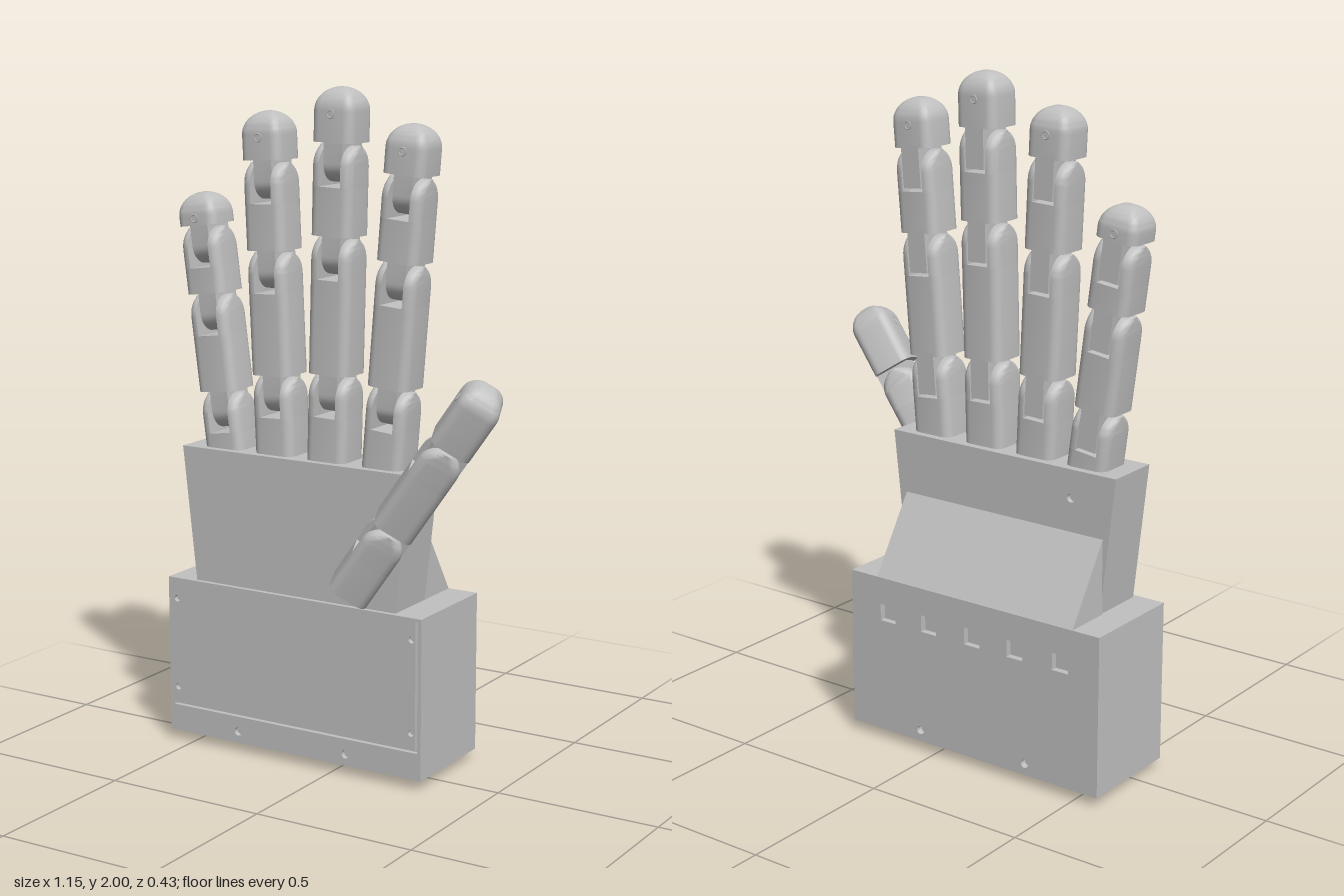
import * as THREE from 'three';
import { toCreasedNormals } from 'three/addons/utils/BufferGeometryUtils.js';

const grey = new THREE.MeshStandardMaterial({ color: 0xc0c0c0 });
grey.name = 'light grey plastic';

const HX = 0.067, HZ = 0.062, CORNER = 0.028, SLOT = 0.036, TONGUE = 0.031;

function add(parent, name, geometry) {
  const mesh = new THREE.Mesh(geometry, grey);
  mesh.name = name;
  parent.add(mesh);
  return mesh;
}

// Rectangle ring in x/z; r0 rounds the corners at x0, r1 those at x1
function ring(x0, x1, hz, r0, r1) {
  const pts = [];
  const corners = [[x1, hz, r1, 0], [x0, hz, r0, 1], [x0, -hz, r0, 2], [x1, -hz, r1, 3]];
  for (const [cx, cz, r, q] of corners) {
    const sx = q === 0 || q === 3 ? 1 : -1, sz = q < 2 ? 1 : -1;
    const n = r > 0 ? 5 : 0;
    for (let i = 0; i <= n; i++) {
      const a = (q + (n ? i / n : 0)) * Math.PI / 2;
      pts.push([cx - sx * r + r * Math.cos(a), cz - sz * r + r * Math.sin(a)]);
    }
  }
  return pts;
}

// Skin a stack of rings [y, points] and cap both ends
function loft(rows) {
  const pos = [], idx = [], n = rows[0][1].length;
  for (const [y, pts] of rows) for (const [x, z] of pts) pos.push(x, y, z);
  for (let k = 0; k < rows.length - 1; k++) {
    for (let i = 0; i < n; i++) {
      const a = k * n + i, b = k * n + (i + 1) % n;
      idx.push(a, a + n, b, b, a + n, b + n);
    }
  }
  for (const k of [0, rows.length - 1]) {
    const [y, pts] = rows[k], c = pos.length / 3;
    pos.push((pts[0][0] + pts[Math.floor(n / 2)][0]) / 2, y, 0);
    for (let i = 0; i < n; i++) {
      const a = k * n + i, b = k * n + (i + 1) % n;
      if (k) idx.push(c, b, a); else idx.push(c, a, b);
    }
  }
  const g = new THREE.BufferGeometry();
  g.setAttribute('position', new THREE.Float32BufferAttribute(pos, 3));
  g.setIndex(idx);
  return toCreasedNormals(g, 0.6);
}

const rect = (x0, x1, y0, y1) => [[x0, y0], [x1, y0], [x1, y1], [x0, y1]];
const circle = (x, y, r) => Array.from({ length: 16 }, (_, i) =>
  [x + r * Math.cos(i * Math.PI / 8), y + r * Math.sin(i * Math.PI / 8)]);

// Flat plate with holes, extruded along +z
function plate(outline, holes, depth) {
  const v = pts => pts.map(p => new THREE.Vector2(...p));
  const shape = new THREE.Shape(v(outline));
  holes.forEach(h => shape.holes.push(new THREE.Path(v(h))));
  return new THREE.ExtrudeGeometry(shape, { depth, bevelEnabled: false });
}

// Outline of [z, y] points extruded along x
function sideProfile(pts, x0, x1) {
  const g = plate(pts.map(([z, y]) => [-z, y]), [], x1 - x0);
  return g.rotateY(Math.PI / 2).translate(x0, 0, 0);
}

// Segment with a slotted knuckle whose cheeks are rounded at the top
function segment(parent, y0, gap) {
  const floor = gap - 0.125, top = gap - 0.008;
  const body = ring(-HX, HX, HZ, CORNER, CORNER);
  add(parent, 'fingerSegment', loft([[y0, body], [floor, body]]));
  for (const s of [-1, 1]) {
    const section = hz => {
      const r = Math.min(CORNER, hz * 0.95);
      return s > 0 ? ring(SLOT, HX, hz, 0, r) : ring(-HX, -SLOT, hz, r, 0);
    };
    const rows = [[floor, section(HZ)]];
    for (let i = 0; i <= 10; i++) {
      const a = i / 10 * 1.54;
      rows.push([top - HZ + HZ * Math.sin(a), section(HZ * Math.cos(a))]);
    }
    add(parent, 'knuckleCheek', loft(rows));
  }
  // Hinge tongue of the next segment, flush with the back
  const pts = [[-HZ, gap + 0.01], [-HZ, gap - 0.115], [-0.01, gap - 0.115]];
  for (let i = 1; i <= 8; i++) {
    const a = i / 8 * Math.PI / 2;
    pts.push([-0.01 + 0.055 * Math.sin(a), gap - 0.06 - 0.055 * Math.cos(a)]);
  }
  pts.push([0.045, gap + 0.01]);
  add(parent, 'hingeTongue', toCreasedNormals(sideProfile(pts, -TONGUE, TONGUE), 0.5));
}

// Fingertip closed by a square vault
function fingertip(parent, y0, top) {
  const rows = [[y0, ring(-HX, HX, HZ, CORNER, CORNER)]];
  for (let i = 0; i <= 12; i++) {
    const a = i / 12 * 1.55, c = Math.cos(a);
    rows.push([top - HX + HX * Math.sin(a), ring(-HX * c, HX * c, HZ * c, CORNER * c, CORNER * c)]);
  }
  add(parent, 'fingertip', loft(rows));
  for (const s of [-1, 1]) {
    const rim = add(parent, 'pinHoleRim', new THREE.TorusGeometry(0.011, 0.002, 6, 16));
    rim.position.set(0, top - 0.075, s * HZ);
  }
}

function finger(name, gaps, top) {
  const g = new THREE.Group();
  g.name = name;
  let y = -0.01;
  for (const gap of gaps) {
    segment(g, y, gap);
    y = gap;
  }
  fingertip(g, y, top);
  return g;
}

export function createModel() {
  const hand = new THREE.Group();
  hand.name = 'mechanicalHand';

  // Forearm housing: core with holed front, back and bottom layers
  const X0 = -0.58, X1 = 0.305, Y0 = 0.03, Y1 = 0.515;
  const core = add(hand, 'housingCore', new THREE.BoxGeometry(X1 - X0, Y1 - Y0 - 0.01, 0.295));
  core.position.set((X0 + X1) / 2, (Y0 + 0.01 + Y1) / 2, -0.0525);
  const lowScrews = [circle(-0.33, 0.065, 0.013), circle(0.05, 0.065, 0.013)];
  const coverScrews = [-0.55, 0.272].flatMap(x => [0.17, 0.45].map(y => circle(x, y, 0.01)));
  const grooves = [rect(-0.565, 0.286, 0.112, 0.119), rect(0.286, 0.293, 0.112, 0.505)];
  // the two grooves meet, so they form one L-shaped cut
  const cut = [grooves[0][0], [0.293, 0.112], [0.293, 0.505], [0.286, 0.505], [0.286, 0.119], grooves[0][3]];
  add(hand, 'housingFront', plate(rect(X0, X1, Y0, Y1), [...lowScrews, ...coverScrews, cut], 0.015))
    .position.z = 0.095;
  const ports = [0.169, 0.017, -0.141, -0.292, -0.45].map(x => rect(x - 0.028, x + 0.028, 0.38, 0.432));
  add(hand, 'housingBack', plate(rect(X0, X1, Y0, Y1), [...lowScrews, ...ports], 0.02))
    .position.z = -0.22;
  const bolts = [0, 1, 2, 3, 4, 5].map(i =>
    circle(-0.14 + 0.09 * Math.cos(i * Math.PI / 3), -0.06 + 0.09 * Math.sin(i * Math.PI / 3), 0.012));
  const seams = [rect(-0.49, 0.21, -0.175, -0.171), rect(-0.49, 0.21, 0.061, 0.065),
    rect(-0.5, -0.496, -0.17, 0.06), rect(0.216, 0.22, -0.17, 0.06)];
  add(hand, 'housingBottom', plate(rect(X0, X1, -0.2, 0.095), [...bolts, ...seams], 0.01)
    .rotateX(Math.PI / 2).translate(0, Y0 + 0.01, 0));
  add(hand, 'wristPeg', new THREE.CylinderGeometry(0.062, 0.062, 0.04, 32))
    .position.set(-0.14, 0.02, -0.06);

  // Palm with a sloped wedge behind it
  const palm = [[-0.485, Y1], [0.21, Y1], [0.255, 0.925], [-0.53, 0.925]];
  add(hand, 'palm', plate(palm, [], 0.155)).position.z = -0.06;
  add(hand, 'palmBack', plate(palm, [circle(-0.38, 0.84, 0.013)], 0.015)).position.z = -0.075;
  add(hand, 'palmWedge', sideProfile([[-0.07, Y1], [-0.218, Y1], [-0.075, 0.74], [-0.07, 0.74]], -0.49, 0.21));

  // Fingers: base x, sideways slope, heights of the joints, height of the tip
  const fingers = [
    ['littleFinger', -0.405, -0.13, [1.095, 1.385, 1.585], 1.68],
    ['ringFinger', -0.227, -0.043, [1.16, 1.525, 1.785], 1.925],
    ['middleFinger', -0.048, 0.027, [1.18, 1.58, 1.845], 2.0],
    ['indexFinger', 0.138, 0.082, [1.16, 1.52, 1.765], 1.905],
  ];
  for (const [name, x, slope, gaps, top] of fingers) {
    const k = Math.hypot(1, slope);
    const f = finger(name, gaps.map(y => (y - 0.925) * k), (top - 0.925) * k);
    f.position.set(x, 0.925, 0.01);
    f.rotation.z = -Math.atan(slope);
    hand.add(f);
  }

  // Thumb, rolled to face the fingers, and its bracket on the palm
  const thumb = finger('thumb', [0.247, 0.56], 0.765);
  thumb.position.set(0.09, 0.587, 0.137);
  thumb.rotation.set(0, -1.13, -0.618, 'ZYX');
  hand.add(thumb);
  const bracket = add(hand, 'thumbBracket', new THREE.BoxGeometry(0.09, 0.17, 0.06));
  bracket.position.set(0.145, 0.665, 0.085);
  bracket.rotation.z = -0.618;

  return hand;
}
